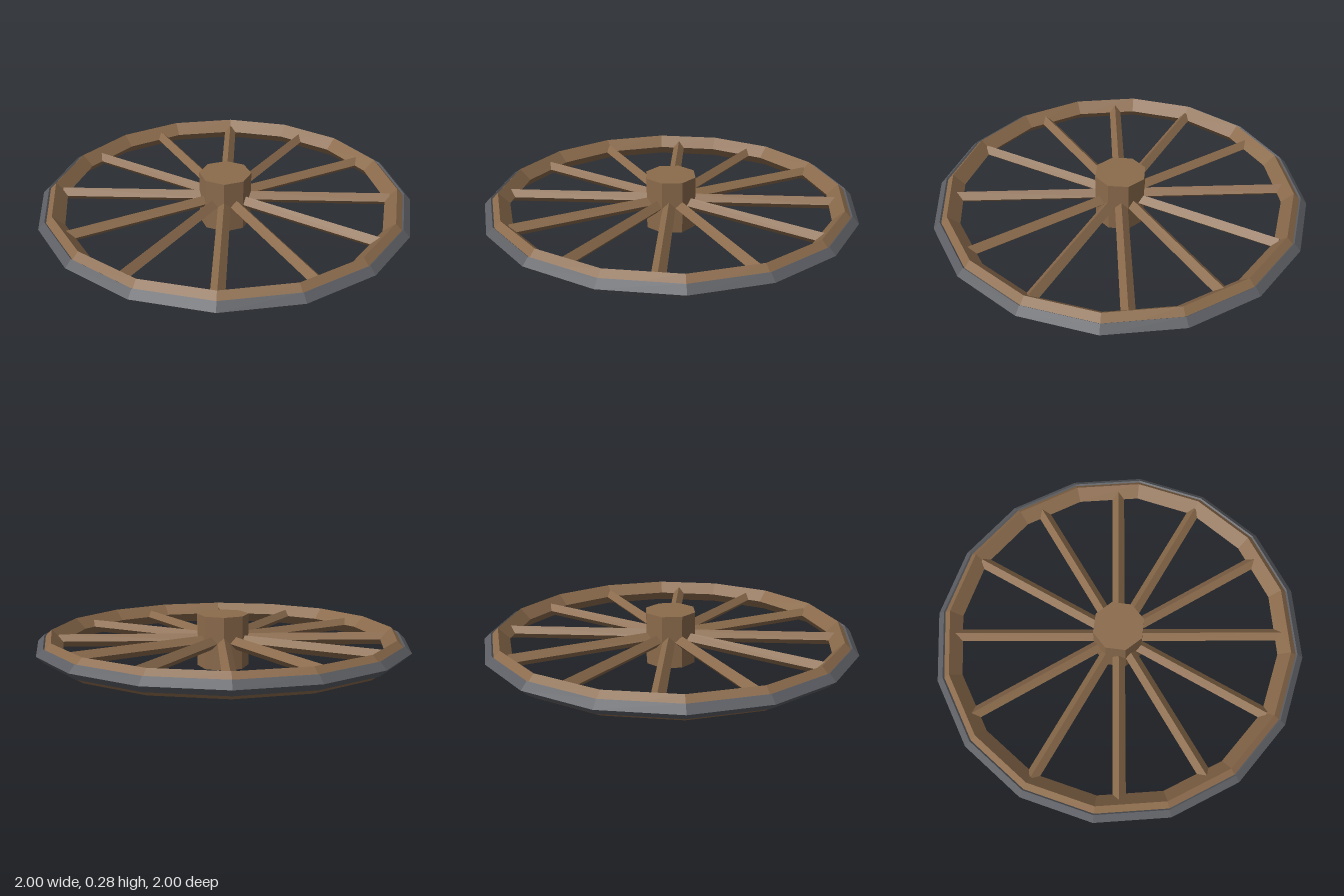
import * as THREE from 'three';

export function createModel() {
  const wheel = new THREE.Group();
  wheel.name = 'wagonWheel';
  const wood = new THREE.MeshStandardMaterial({ name: 'wood', color: 0x8b6b4c, flatShading: true });
  const iron = new THREE.MeshStandardMaterial({ name: 'iron', color: 0x5c5e63, flatShading: true });
  const midY = 0.145;

  const add = (name, geometry, material, parent = wheel) => {
    const mesh = new THREE.Mesh(geometry, material);
    mesh.name = name;
    mesh.position.y = midY;
    parent.add(mesh);
    return mesh;
  };

  // Sixteen-sided rings with a diamond section, lying flat
  const ring = (radius, tube) => new THREE.TorusGeometry(radius, tube, 4, 16).rotateX(-Math.PI / 2);
  add('rim', ring(0.925, 0.06), wood);
  add('tyre', ring(0.965, 0.035), iron);

  // Octagonal hub
  add('hub', new THREE.CylinderGeometry(0.14, 0.14, 0.285, 8), wood);

  // Twelve spokes, square bars set on edge
  const spokes = new THREE.Group();
  spokes.name = 'spokes';
  wheel.add(spokes);
  const inner = 0.05, outer = 0.888;
  const bar = new THREE.CylinderGeometry(0.034, 0.034, outer - inner, 4)
    .rotateZ(-Math.PI / 2)
    .translate((inner + outer) / 2, 0, 0);
  for (let i = 0; i < 12; i++) {
    add('spoke', bar, wood, spokes).rotation.y = (i * Math.PI) / 6;
  }

  return wheel;
}
